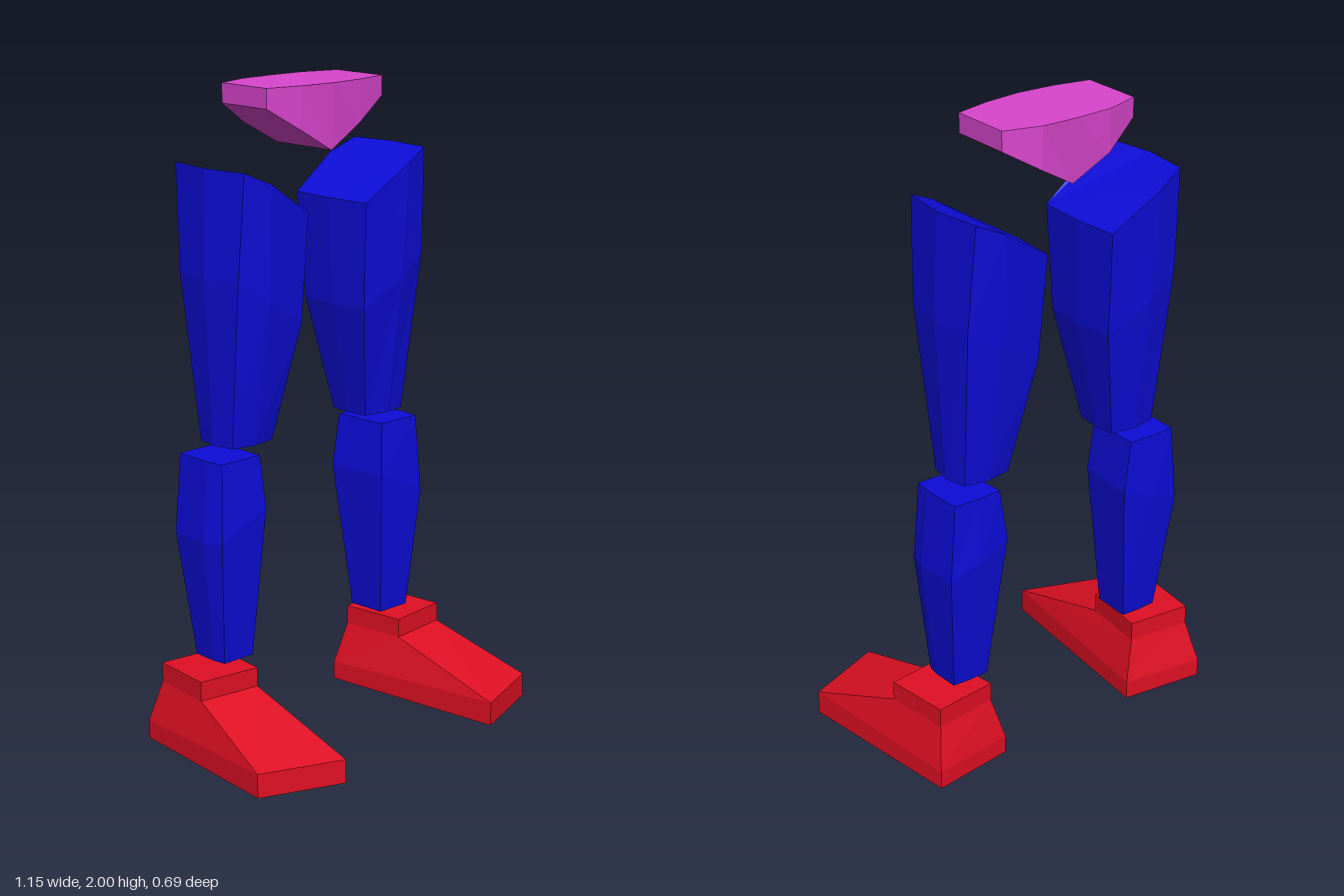
import * as THREE from 'three';

const material = (name, color) => {
  const m = new THREE.MeshStandardMaterial({ color });
  m.name = name;
  return m;
};

// Joins a row of matching cross-sections and closes both ends, with hard facets.
function loft(rings) {
  const n = rings[0].length, last = rings[rings.length - 1], out = [];
  const tri = (a, b, c) => out.push(...a, ...b, ...c);
  for (let r = 0; r < rings.length - 1; r++) {
    for (let i = 0; i < n; i++) {
      const j = (i + 1) % n;
      tri(rings[r][i], rings[r][j], rings[r + 1][j]);
      tri(rings[r][i], rings[r + 1][j], rings[r + 1][i]);
    }
  }
  for (let i = 1; i < n - 1; i++) {
    tri(rings[0][0], rings[0][i + 1], rings[0][i]);
    tri(last[0], last[i], last[i + 1]);
  }
  const g = new THREE.BufferGeometry();
  g.setAttribute('position', new THREE.Float32BufferAttribute(out, 3));
  g.computeVertexNormals();
  return g;
}

// Reflects cross-sections across x = 0 and keeps the faces outward.
const mirror = rings => rings.map(r => r.map(([x, y, z]) => [-x, y, z]).reverse());

// Thigh section: heights are given at the inner edge, middle and outer edge.
function thighRing(yIn, yMid, yOut, xIn, xMid, xOut, front, back, bevel) {
  const zc = (front + back) / 2, b = bevel;
  return [
    [xMid, yMid, front],
    [xOut - b, yOut, front - b], [xOut, yOut, zc], [xOut - b, yOut, back + b],
    [xMid, yMid, back],
    [xIn + b / 2, yIn, back + b], [xIn, yIn, zc], [xIn + b / 2, yIn, front - b],
  ];
}

// Calf section: narrower at the front, slightly ridged behind.
function calfRing(yIn, yMid, yOut, xIn, xOut, front, back, bevel) {
  const b = bevel;
  return [
    [xIn + b, yIn, front], [xOut - b, yOut, front],
    [xOut, yOut, front + (back - front) * 0.3], [xOut - b / 2, yOut, back + b / 2],
    [(xIn + xOut) / 2, yMid, back], [xIn, yIn, back + b / 2],
  ];
}

const quad = (y, pts) => pts.map(([x, z, py = y]) => [x, py, z]);

export function createModel() {
  const model = new THREE.Group();
  const blue = material('blue', 0x0d0dd8);
  const red = material('red', 0xe01024);
  const magenta = material('magenta', 0xd845cc);

  const add = (parent, name, rings, mat) => {
    const mesh = new THREE.Mesh(loft(rings), mat);
    mesh.name = name;
    parent.add(mesh);
  };

  // Pelvis: sections from right to left [x, top front z, top back z, bottom y, bottom front z, bottom back z]
  const pelvis = [
    [-0.235, -0.07, -0.265, 1.94, -0.07, -0.265],
    [-0.12, -0.045, -0.3, 1.87, -0.048, -0.3],
    [0, -0.035, -0.305, 1.8, -0.045, -0.285],
    [0.12, -0.045, -0.3, 1.87, -0.048, -0.3],
    [0.235, -0.07, -0.265, 1.94, -0.07, -0.265],
  ].map(([x, f, b, y, bf, bb]) => [[x, 2, b], [x, 2, f], [x, y, bf], [x, y, bb]]);
  add(model, 'pelvis', pelvis, magenta);

  const thigh = [
    thighRing(0.94, 0.94, 0.94, 0.19, 0.28, 0.37, -0.085, -0.258, 0.015),
    thighRing(1.3, 1.38, 1.45, 0.12, 0.275, 0.4, -0.018, -0.318, 0.02),
    thighRing(1.63, 1.735, 1.775, 0.108, 0.28, 0.388, 0, -0.343, 0.02),
  ];

  const calf = [
    calfRing(0.27, 0.27, 0.27, 0.27, 0.397, -0.108, -0.235, 0.006),
    calfRing(0.74, 0.7, 0.66, 0.225, 0.442, -0.075, -0.287, 0.02),
    calfRing(0.905, 0.905, 0.905, 0.25, 0.417, -0.088, -0.277, 0.008),
  ];

  // Foot: sole, toe edge, instep and ankle outlines, starting at the inner toe
  const sole = [[0.315, 0.342], [0.575, 0.243], [0.513, -0.325], [0.243, -0.29]];
  const ankle = [[0.305, -0.055], [0.51, -0.08], [0.486, -0.288], [0.28, -0.265]];
  const foot = [
    quad(0, sole),
    quad(0.075, sole.map(([x, z], i) => [x, z, i < 2 ? 0.075 : 0.058])),
    quad(0.19, ankle),
    quad(0.25, ankle),
  ];

  for (const side of ['left', 'right']) {
    const leg = new THREE.Group();
    leg.name = side + 'Leg';
    const place = rings => (side === 'left' ? rings : mirror(rings));
    add(leg, side + 'Thigh', place(thigh), blue);
    add(leg, side + 'Calf', place(calf), blue);
    add(leg, side + 'Foot', place(foot), red);
    model.add(leg);
  }
  return model;
}
